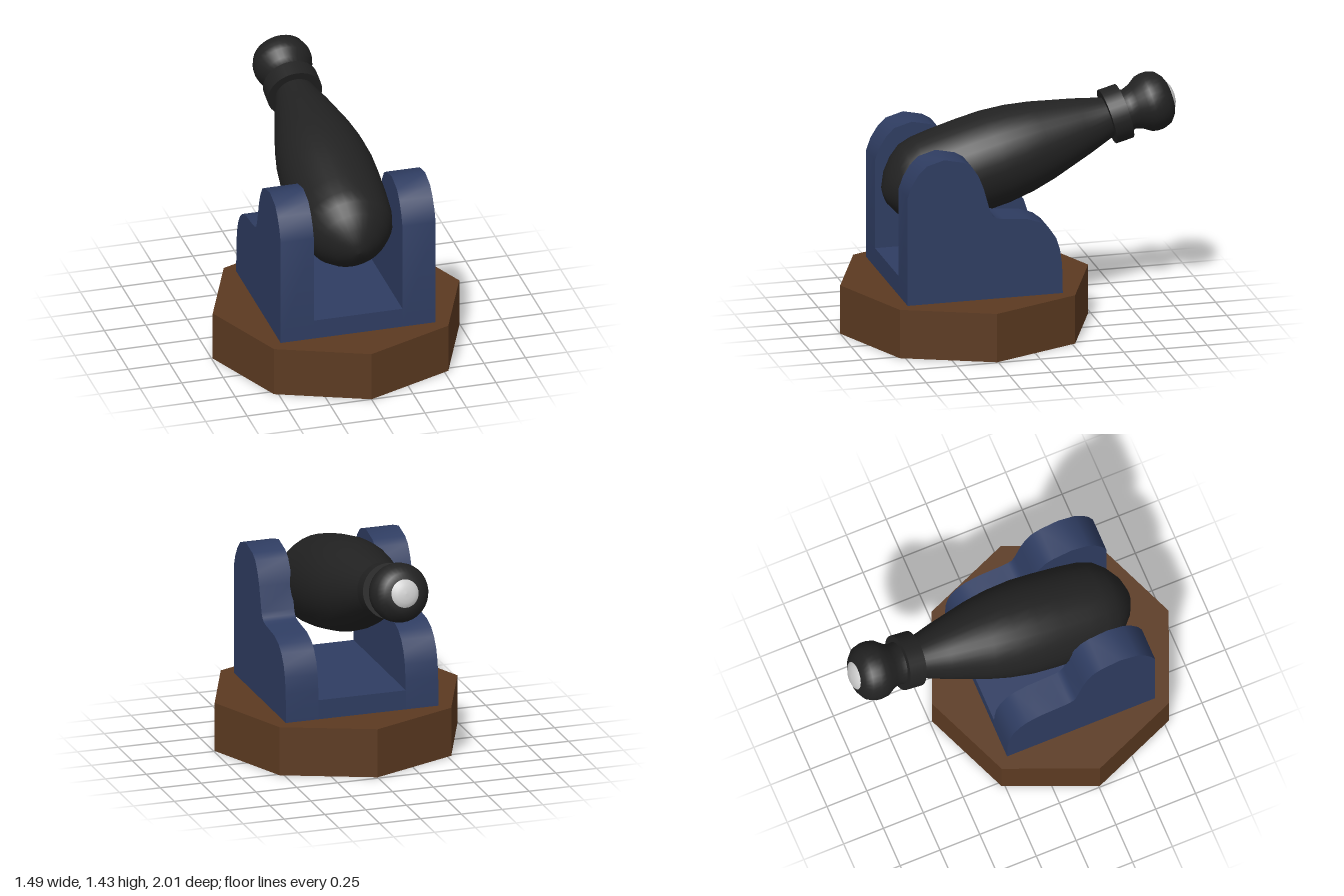
import * as THREE from 'three';
import { toCreasedNormals } from 'three/addons/utils/BufferGeometryUtils.js';

export function createModel() {
  const model = new THREE.Group();
  model.name = 'cannon';
  const material = (name, color, extra = {}) =>
    Object.assign(new THREE.MeshStandardMaterial({ color, ...extra }), { name });
  const wood = material('brown wood', 0x5c3a21, { flatShading: true });
  const blue = material('blue paint', 0x2f3d62);
  const iron = material('black iron', 0x222222);
  const pale = material('pale grey', 0xcccccc);

  const add = (parent, name, geometry, mat, x = 0, y = 0, z = 0) => {
    const mesh = new THREE.Mesh(geometry, mat);
    mesh.name = name;
    mesh.position.set(x, y, z);
    parent.add(mesh);
    return mesh;
  };

  // Eight-sided base
  add(model, 'base', new THREE.CylinderGeometry(0.743, 0.743, 0.295, 8), wood, 0, 0.1475, 0.257);

  // Carriage: two stepped cheeks joined by a floor; profile is (z, y)
  const cheek = new THREE.Shape([
    [-0.21, 0.295], [0.72, 0.295], [0.72, 0.95], [0.695, 1.02], [0.655, 1.085], [0.605, 1.135],
    [0.5, 1.165], [0.385, 1.14], [0.335, 1.11], [0.295, 1.05], [0.265, 0.975], [0.225, 0.83],
    [0.21, 0.8], [0.185, 0.783], [0.14, 0.775], [0, 0.763], [-0.08, 0.735], [-0.13, 0.695],
    [-0.17, 0.635], [-0.193, 0.565], [-0.206, 0.47],
  ].map(([z, y]) => new THREE.Vector2(z, y)));
  const cheekGeometry = toCreasedNormals(
    new THREE.ExtrudeGeometry(cheek, { depth: 0.2, bevelEnabled: false }).rotateY(-Math.PI / 2), 0.7);
  add(model, 'leftCheek', cheekGeometry, blue, 0.467);
  add(model, 'rightCheek', cheekGeometry, blue, -0.267);
  add(model, 'carriageFloor', new THREE.BoxGeometry(0.534, 0.117, 0.93), blue, 0, 0.3535, 0.255);

  // Barrel group: local +y runs along the bore to the muzzle, origin at the ring
  const barrel = new THREE.Group();
  barrel.name = 'barrel';
  barrel.position.set(0, 1.188, -0.6);
  barrel.rotation.x = -THREE.MathUtils.degToRad(90 - 15.3);
  model.add(barrel);
  const lathe = (points) =>
    new THREE.LatheGeometry(points.map(([r, y]) => new THREE.Vector2(r, y)), 32);

  // Swelling body with a rounded breech
  add(barrel, 'barrelBody', lathe([
    [0, -1.392], [0.055, -1.383], [0.135, -1.34], [0.205, -1.275], [0.25, -1.21], [0.269, -1.13],
    [0.277, -1.01], [0.281, -0.85], [0.28, -0.7], [0.264, -0.55], [0.236, -0.41],
    [0.168, -0.16], [0.118, 0], [0.118, 0.05],
  ]), iron);

  // Reinforcing ring
  add(barrel, 'barrelRing', new THREE.CylinderGeometry(0.164, 0.164, 0.105, 32), iron, 0, 0.0525);

  // Swollen muzzle
  add(barrel, 'muzzle', lathe([
    [0.13, 0.09], [0.121, 0.135], [0.136, 0.178], [0.167, 0.225], [0.174, 0.26], [0.173, 0.295],
    [0.157, 0.342], [0.12, 0.374], [0.085, 0.388], [0, 0.392],
  ]), iron);

  // Domed plug in the mouth
  add(barrel, 'muzzlePlug', lathe([
    [0.088, 0.38], [0.08, 0.393], [0.055, 0.405], [0.028, 0.411], [0, 0.413],
  ]), pale);

  return model;
}
